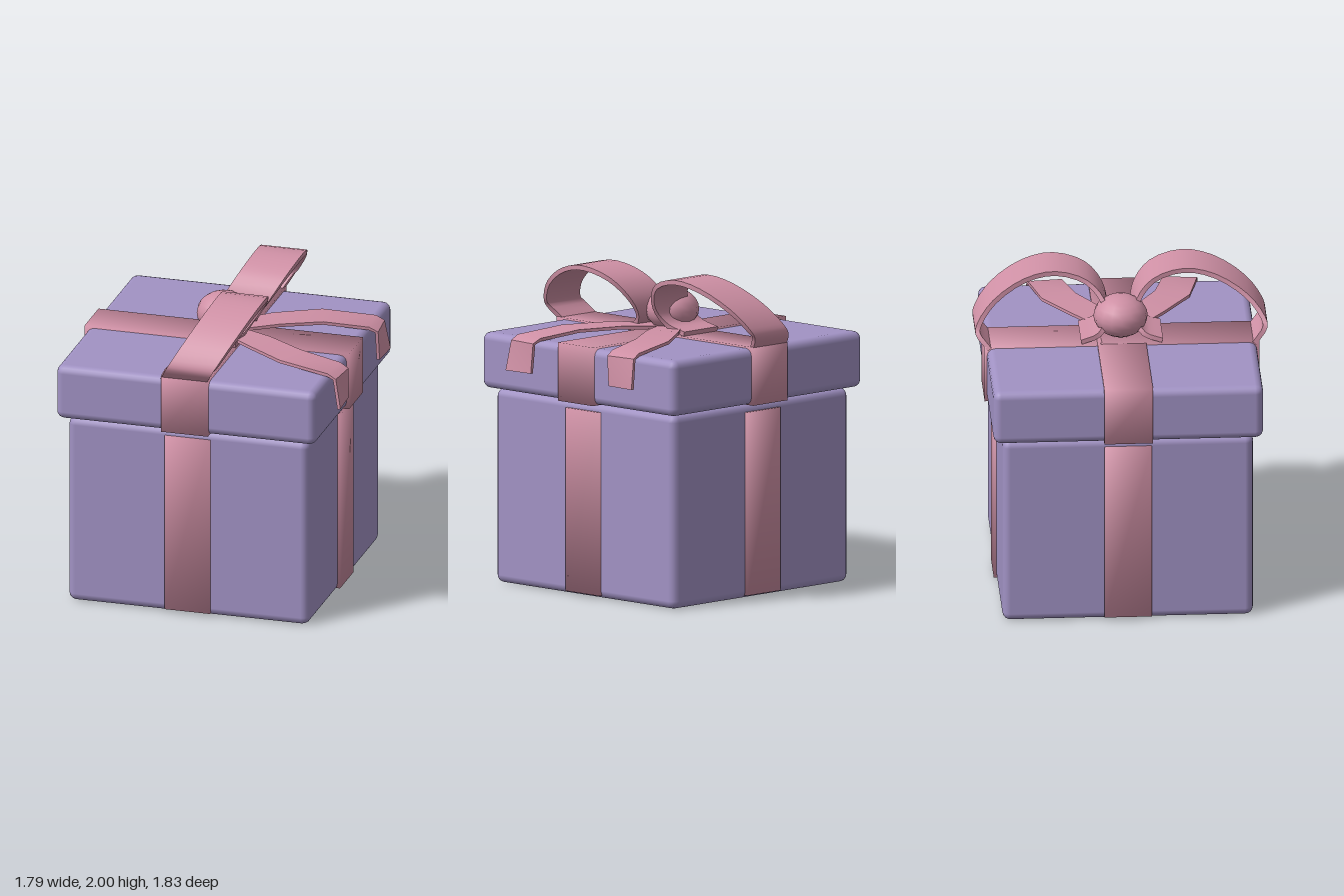
import * as THREE from 'three';
import { toCreasedNormals } from 'three/addons/utils/BufferGeometryUtils.js';
import { RoundedBoxGeometry } from 'three/addons/geometries/RoundedBoxGeometry.js';

const CX = -0.035; // centre of the box in x

// Band with softly shaded corners
function softBox(w, h, d) {
  const geo = new THREE.BoxGeometry(w, h, d);
  const p = geo.attributes.position;
  const n = new THREE.Vector3();
  for (let i = 0; i < p.count; i++) {
    n.set(Math.sign(p.getX(i)), Math.sign(p.getY(i)), Math.sign(p.getZ(i))).normalize();
    geo.attributes.normal.setXYZ(i, n.x, n.y, n.z);
  }
  return geo;
}

// Ribbon of even thickness swept between two edge lines
function ribbon(edgeA, edgeB, thickness) {
  const pos = [], index = [];
  const last = edgeA.length - 1;
  const mid = edgeA.map((a, i) => a.clone().add(edgeB[i]).multiplyScalar(0.5));
  for (let i = 0; i <= last; i++) {
    const along = mid[Math.min(i + 1, last)].clone().sub(mid[Math.max(i - 1, 0)]);
    const n = edgeB[i].clone().sub(edgeA[i]).cross(along).setLength(thickness);
    const ring = [edgeA[i], edgeB[i], edgeB[i].clone().add(n), edgeA[i].clone().add(n)];
    ring.forEach((v) => pos.push(v.x, v.y, v.z));
    if (i === last) continue;
    for (let k = 0; k < 4; k++) {
      const a = i * 4 + k, b = i * 4 + ((k + 1) % 4);
      index.push(a, a + 4, b + 4, a, b + 4, b);
    }
  }
  const e = last * 4;
  index.push(0, 1, 2, 0, 2, 3, e, e + 2, e + 1, e, e + 3, e + 2);
  const geo = new THREE.BufferGeometry();
  geo.setAttribute('position', new THREE.Float32BufferAttribute(pos, 3));
  geo.setIndex(index);
  return toCreasedNormals(geo, 0.7);
}

// Slanted bow loop on one side (side = 1 front, -1 back)
function loopGeometry(side) {
  const path = new THREE.CatmullRomCurve3([
    [0.25, 1.6], [0.13, 1.64], [0.075, 1.73], [0.1, 1.84], [0.2, 1.945], [0.4, 2.0],
    [0.6, 1.965], [0.8, 1.85], [0.9, 1.73], [0.915, 1.67], [0.84, 1.575],
  ].map(([z, y]) => new THREE.Vector3(0, y, z * side)));
  const pts = path.getPoints(30);
  const edge = (x0) => pts.map((p) => new THREE.Vector3(x0 + (p.y - 1.57) * 0.58, p.y, p.z));
  const low = edge(-0.2), high = edge(0.1);
  return side > 0 ? ribbon(low, high, 0.03) : ribbon(high, low, 0.03);
}

// Loose ribbon end that folds over the lid edge
function tailGeometry(side) {
  // outer x, outer z, inner x, inner z, y
  const stations = [
    [-0.05, 0.08, 0.1, 0.0, 1.635],
    [0.2, 0.29, 0.3, 0.11, 1.645],
    [0.47, 0.465, 0.54, 0.25, 1.635],
    [0.8, 0.53, 0.82, 0.315, 1.605],
    [0.855, 0.535, 0.875, 0.325, 1.575],
    [0.89, 0.55, 0.88, 0.34, 1.385],
  ];
  const outer = stations.map((s) => new THREE.Vector3(s[0], s[4], s[1] * side));
  const inner = stations.map((s) => new THREE.Vector3(s[2], s[4], s[3] * side));
  return side > 0 ? ribbon(outer, inner, 0.02) : ribbon(inner, outer, 0.02);
}

export function createModel() {
  const model = new THREE.Group();
  model.name = 'giftBox';
  const purple = new THREE.MeshStandardMaterial({ color: 0xa192c4 });
  purple.name = 'purple paper';
  const pink = new THREE.MeshStandardMaterial({ color: 0xcf90a5 });
  pink.name = 'pink ribbon';

  const add = (name, geo, mat, x = 0, y = 0, z = 0) => {
    const mesh = new THREE.Mesh(geo, mat);
    mesh.name = name;
    mesh.position.set(x, y, z);
    model.add(mesh);
    return mesh;
  };

  // Box and lid
  add('boxBody', new RoundedBoxGeometry(1.57, 1.23, 1.57, 2, 0.05), purple, CX, 0.615);
  add('lid', new RoundedBoxGeometry(1.695, 0.355, 1.69, 2, 0.05), purple, CX, 1.41);

  // Crossed bands around the body and the lid
  add('bodyBandFront', softBox(0.295, 1.16, 1.605), pink, CX, 0.6);
  add('bodyBandSide', softBox(1.605, 1.16, 0.295), pink, CX, 0.6);
  add('lidBandFront', softBox(0.305, 0.37, 1.72), pink, CX, 1.415);
  add('lidBandSide', softBox(1.725, 0.37, 0.305), pink, CX, 1.415);

  // Bow
  const knot = add('bowKnot', new THREE.SphereGeometry(0.17, 16, 12), pink, CX, 1.73);
  knot.scale.y = 0.79;
  for (const side of [1, -1]) {
    const label = side > 0 ? 'Front' : 'Back';
    add('bowLoop' + label, loopGeometry(side), pink);
    add('bowTail' + label, tailGeometry(side), pink);
  }
  return model;
}
